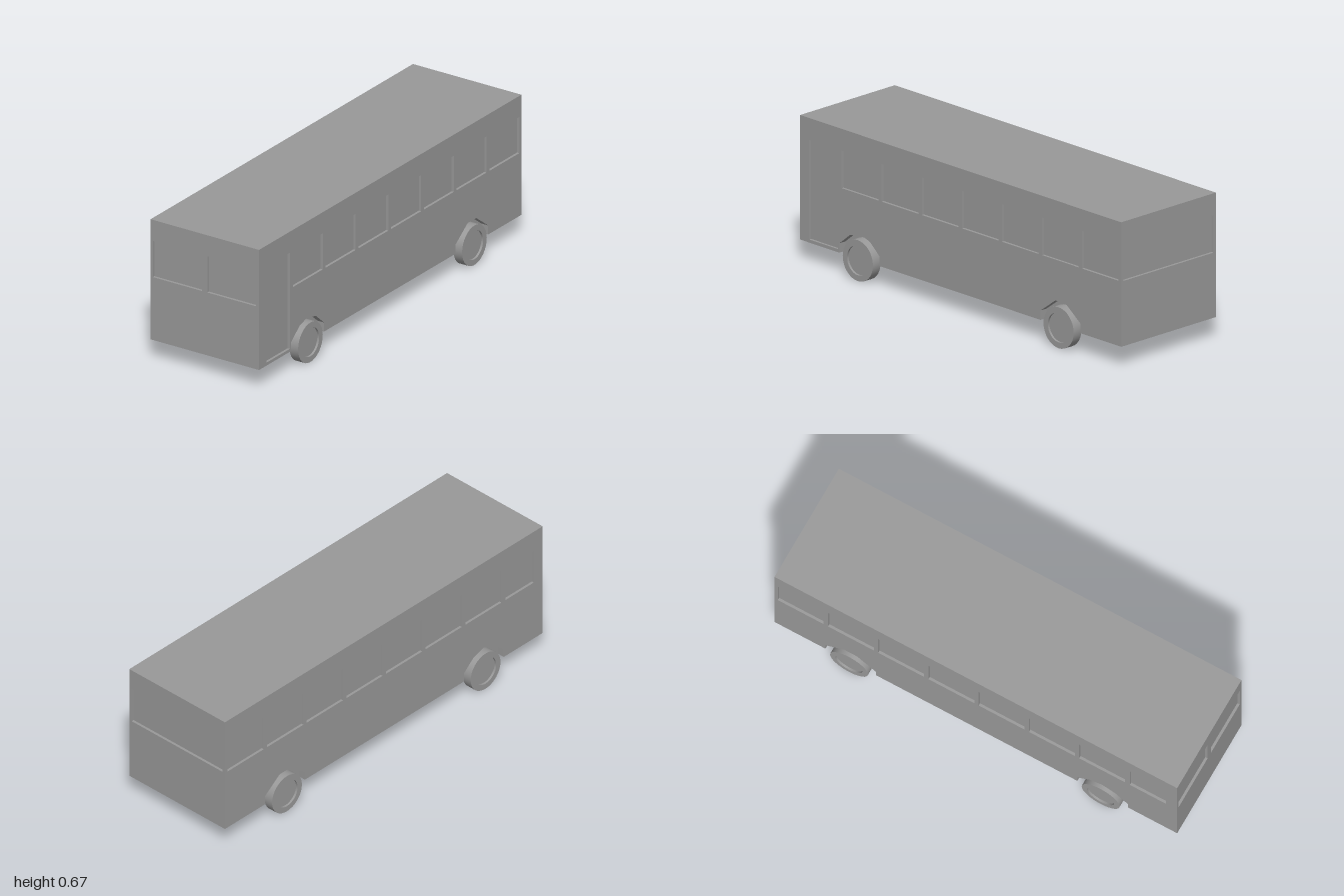
import * as THREE from 'three';
import { toCreasedNormals } from 'three/addons/utils/BufferGeometryUtils.js';

const W = 0.286, BOTTOM = 0.096, TOP = 0.667, L = 1;
const SKIN = 0.012;            // depth of window and door recesses
const ARCH_FLOOR = 0.25;       // x where the wheel arches end
const SILL = 0.395, HEAD = 0.567;

export function createModel() {
  const bus = new THREE.Group();
  bus.name = 'bus';
  const grey = new THREE.MeshStandardMaterial({ color: 0x999999 });
  grey.name = 'grey';

  const add = (name, geometry, x, y, z) => {
    const mesh = new THREE.Mesh(geometry, grey);
    mesh.name = name;
    mesh.position.set(x, y, z);
    bus.add(mesh);
  };

  // rectangular opening [u0, u1, v0, v1]
  const cut = (shape, [u0, u1, v0, v1]) => {
    shape.holes.push(new THREE.Path([[u0, v0], [u0, v1], [u1, v1], [u1, v0]]
      .map(([u, v]) => new THREE.Vector2(u, v))));
  };
  const extrude = (shape, depth) =>
    new THREE.ExtrudeGeometry(shape, { depth, bevelEnabled: false });

  // side outline in (z, y) with both wheel arches
  const end = L - SKIN;
  const rearArch = [[-0.747, BOTTOM], [-0.747, 0.139], [-0.655, 0.208],
    [-0.59, 0.208], [-0.497, 0.139], [-0.497, BOTTOM]];
  const frontArch = [[0.504, BOTTOM], [0.504, 0.139], [0.565, 0.192], [0.628, 0.212],
    [0.691, 0.192], [0.755, 0.139], [0.755, BOTTOM]];
  const sideShape = () => new THREE.Shape([[-end, BOTTOM], ...rearArch, ...frontArch,
    [end, BOTTOM], [end, TOP], [-end, TOP]].map(([z, y]) => new THREE.Vector2(z, y)));

  // core between the arches
  add('core', new THREE.BoxGeometry(2 * ARCH_FLOOR, TOP - BOTTOM, 2 * end),
    0, (TOP + BOTTOM) / 2, 0);

  // sides: a solid backing and an outer skin with openings
  const backing = W - SKIN - ARCH_FLOOR;
  for (const side of [1, -1]) {
    const name = side > 0 ? 'left' : 'right';
    const skin = sideShape();
    for (let i = 0; i < 7; i++) {
      const z = -0.984 + i * 0.2495;
      cut(skin, [z, z + 0.228, SILL, HEAD]);
    }
    // door on the left, short window on the right
    cut(skin, [0.765, 0.944, side > 0 ? 0.11 : SILL, HEAD]);
    add(name + 'SidePanes', extrude(sideShape(), backing).rotateY(-Math.PI / 2),
      side > 0 ? W - SKIN : -ARCH_FLOOR, 0, 0);
    add(name + 'SideWall', extrude(skin, SKIN).rotateY(-Math.PI / 2),
      side > 0 ? W : -(W - SKIN), 0, 0);
  }

  // front and back walls
  const endWall = (name, z, openings) => {
    const shape = new THREE.Shape([[-W, BOTTOM], [W, BOTTOM], [W, TOP], [-W, TOP]]
      .map(([x, y]) => new THREE.Vector2(x, y)));
    openings.forEach(([a, b]) => cut(shape, [a, b, SILL, HEAD]));
    add(name, extrude(shape, SKIN), 0, 0, z);
  };
  endWall('frontWall', end, [[-0.274, -0.015], [0.013, 0.271]]);
  endWall('backWall', -L, [[-0.272, 0.272]]);

  // wheels with sunken hubs
  const profile = [[0, 0], [0.094, 0], [0.094, 0.046], [0.067, 0.046], [0.067, 0.036], [0, 0.036]]
    .map(([r, h]) => new THREE.Vector2(r, h));
  for (const side of [1, -1]) {
    for (const [place, z] of [['front', 0.627], ['rear', -0.623]]) {
      const wheel = toCreasedNormals(new THREE.LatheGeometry(profile, 32), 0.6);
      add(place + (side > 0 ? 'Left' : 'Right') + 'Wheel',
        wheel.rotateZ(-side * Math.PI / 2), side * 0.253, 0.094, z);
    }
  }
  return bus;
}
